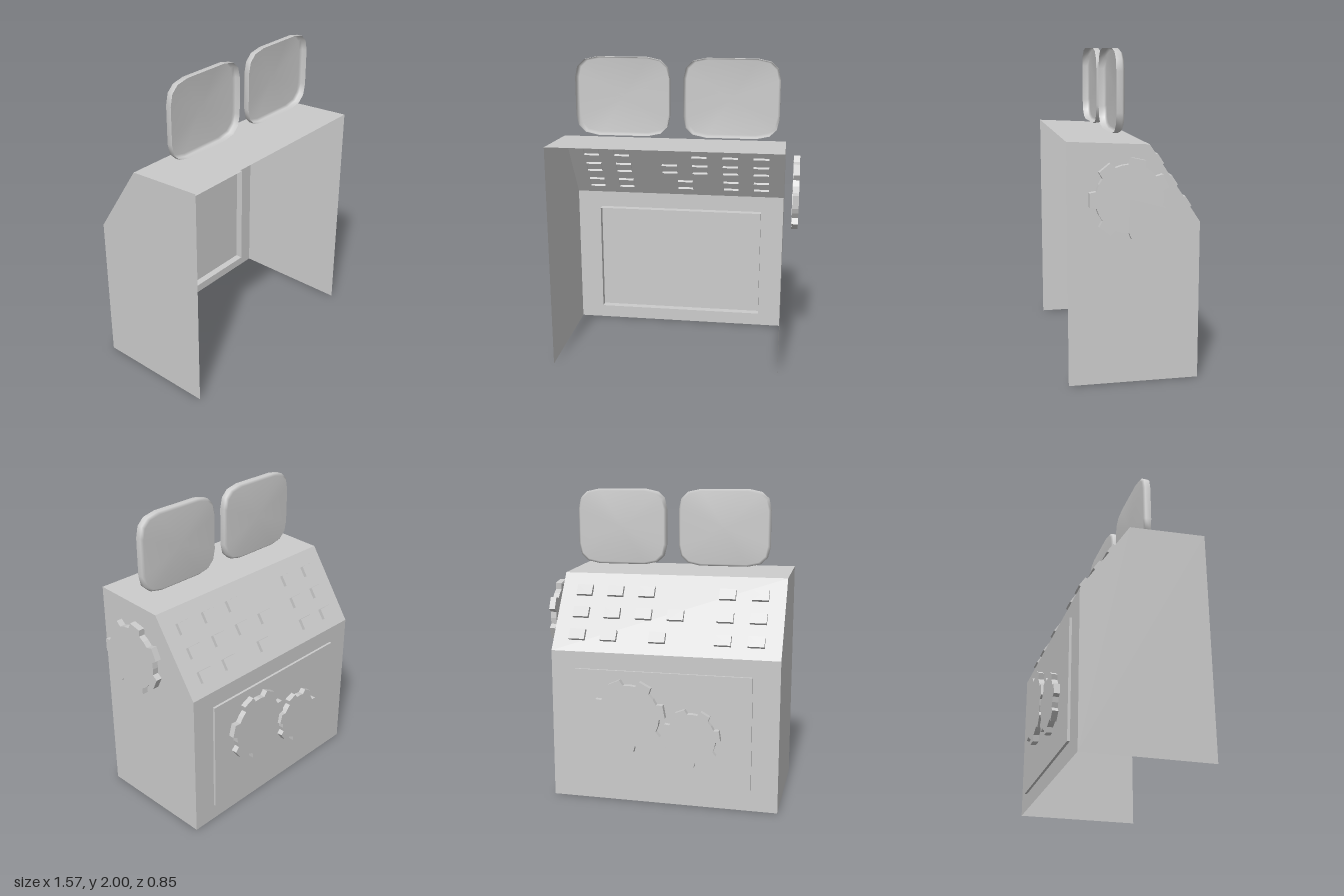
import * as THREE from 'three';

const flat = new THREE.MeshStandardMaterial({ color: 0xcccccc, flatShading: true, side: THREE.DoubleSide });
const smooth = new THREE.MeshStandardMaterial({ color: 0xcccccc, side: THREE.DoubleSide });

// Open tray: stacked outlines [points, z] joined by walls, with a face on the last one
function tray(levels) {
  const n = levels[0][0].length, pos = [], idx = [];
  for (const [pts, z] of levels) for (const [x, y] of pts) pos.push(x, y, z);
  for (let l = 0; l < levels.length - 1; l++) {
    for (let i = 0; i < n; i++) {
      const a = l * n + i, b = l * n + (i + 1) % n;
      idx.push(a, b, b + n, a, b + n, a + n);
    }
  }
  const last = (levels.length - 1) * n, centre = levels.length * n;
  pos.push(0, 0, levels[levels.length - 1][1]);
  for (let i = 0; i < n; i++) idx.push(last + i, last + (i + 1) % n, centre);
  const g = new THREE.BufferGeometry();
  g.setAttribute('position', new THREE.Float32BufferAttribute(pos, 3));
  g.setIndex(idx);
  g.computeVertexNormals();
  return g;
}

const rect = (w, h) => [[w / 2, h / 2], [-w / 2, h / 2], [-w / 2, -h / 2], [w / 2, -h / 2]];

// Seven-toothed gear outline, one tooth centred on the given angle in degrees
function gearOutline(radius, phase) {
  const pts = [], teeth = 7, root = radius * 0.84, pitch = 360 / teeth;
  const add = (r, deg) => pts.push([r * Math.cos(deg * Math.PI / 180), r * Math.sin(deg * Math.PI / 180)]);
  for (let i = 0; i < teeth; i++) {
    const a = phase + i * pitch;
    add(root, a - 14);
    add(radius, a - 10);
    add(radius, a + 10);
    add(root, a + 14);
    add(root, a + pitch / 2);
  }
  return pts;
}

export function createModel() {
  const model = new THREE.Group();
  const add = (name, geometry, material = flat) => {
    const mesh = new THREE.Mesh(geometry, material);
    mesh.name = name;
    model.add(mesh);
    return mesh;
  };

  // Desk shell: side profile as [z, y], open at the front and bottom
  const left = 0.69, right = -0.79;
  const profile = [[0.43, 0], [0.43, 1.475], [-0.06, 1.45], [-0.37, 0.98], [-0.37, 0]];
  const pos = [], idx = [];
  profile.slice(1).forEach(([z, y], i) => {
    pos.push(right, y, z, left, y, z);
    const a = i * 2;
    if (i < 3) idx.push(a, a + 1, a + 3, a, a + 3, a + 2);
  });
  const sheet = new THREE.BufferGeometry();
  sheet.setAttribute('position', new THREE.Float32BufferAttribute(pos, 3));
  sheet.setIndex(idx);
  sheet.computeVertexNormals();
  add('topAndBack', sheet);

  const sideShape = new THREE.Shape(profile.map(([z, y]) => new THREE.Vector2(-z, y)));
  for (const [name, x, turn] of [['leftSide', left, 1], ['rightSide', right, -1]]) {
    const geometry = new THREE.ShapeGeometry(sideShape);
    geometry.rotateY(Math.PI / 2);
    if (turn < 0) { // outward winding on the mirrored side
      const index = geometry.index.array;
      for (let i = 0; i < index.length; i += 3) [index[i], index[i + 1]] = [index[i + 1], index[i]];
      geometry.computeVertexNormals();
    }
    add(name, geometry).position.x = x;
  }

  // Raised back panel, hollow on the inside
  const panel = add('backPanel', tray([[rect(1.15, 0.76), 0], [rect(1.15, 0.76), 0.066]]));
  panel.position.set(-0.045, 0.49, -0.32);
  panel.rotation.y = Math.PI;

  // Two meshing gears on the panel
  for (const [name, x, y, r, phase] of [
    ['largeGear', 0.165, 0.585, 0.24, 15],
    ['smallGear', -0.24, 0.465, 0.19, 16.5],
  ]) {
    const outline = gearOutline(r, 180 - phase);
    const gear = add(name, tray([[outline, 0], [outline, 0.037]]));
    gear.position.set(x, y, -0.387);
    gear.rotation.y = Math.PI;
  }

  // Gear beside the left wall
  const sideOutline = gearOutline(0.24, 180);
  const sideGear = add('sideGear', tray([[sideOutline, 0], [sideOutline, 0.04]]));
  sideGear.position.set(0.743, 1.147, 0.076);
  sideGear.rotation.y = Math.PI / 2;

  // Buttons in three rows along the slope
  const down = new THREE.Vector3(0, -0.47, -0.31).normalize();
  const out = new THREE.Vector3(0, 0.31, -0.47).normalize();
  const buttonGeometry = tray([[rect(0.105, 0.072), -0.018], [rect(0.105, 0.072), 0.024]]);
  [
    [-0.63, -0.42, 0.11, 0.32, 0.53],
    [-0.63, -0.42, -0.1, 0.11, 0.32, 0.53],
    [-0.63, -0.42, 0, 0.32, 0.53],
  ].forEach((row, r) => row.forEach((x) => {
    const button = add('button', buttonGeometry);
    button.position.set(x, 1.45, -0.06).addScaledVector(down, 0.133 + r * 0.158);
    button.lookAt(button.position.clone().add(out));
  }));

  // Two rounded screens, dished towards the front
  const corner = [[0.303, 0.12], [0.287, 0.19], [0.243, 0.232], [0.16, 0.25]];
  const flip = (sx, sy) => corner.map(([x, y]) => [x * sx, y * sy]);
  const rim = [...flip(1, 1), ...flip(-1, 1).reverse(), ...flip(-1, -1), ...flip(1, -1).reverse()];
  const inset = rim.map(([x, y]) => [x * 0.955, y * 0.945]);
  const screenGeometry = tray([[rim, 0], [rim, 0.036], [inset, 0.05]]);
  for (const [name, x] of [['rightScreen', -0.352], ['leftScreen', 0.342]]) {
    const screen = add(name, screenGeometry, smooth);
    screen.position.set(x, 1.75, 0.13);
    screen.rotation.y = Math.PI;
  }

  return model;
}
